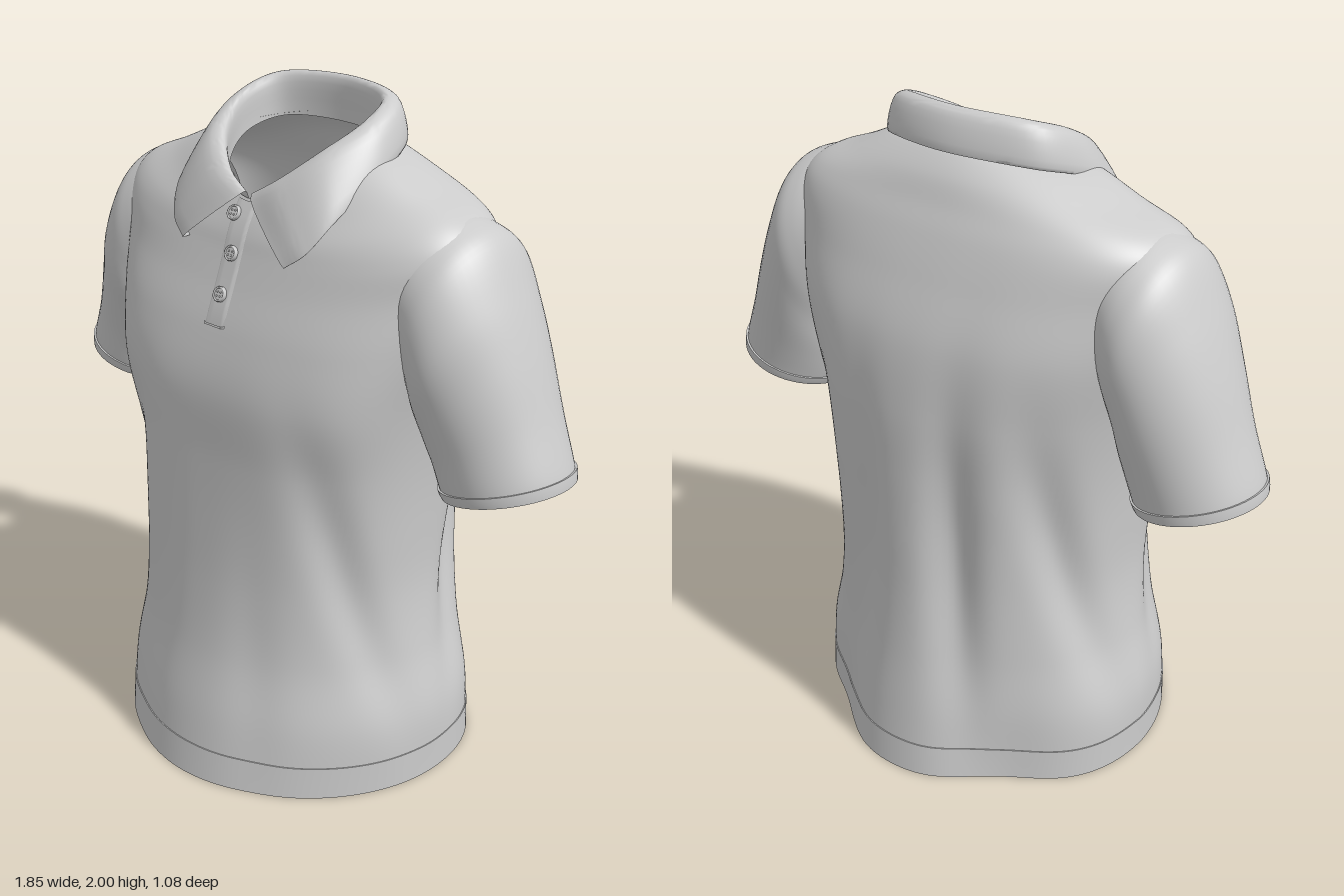
import * as THREE from 'three';
import { toCreasedNormals } from 'three/addons/utils/BufferGeometryUtils.js';

const V = (x, y, z) => new THREE.Vector3(x, y, z);
const cloth = new THREE.MeshStandardMaterial({ color: 0xcccccc, side: THREE.DoubleSide });
const spline = pts => new THREE.CatmullRomCurve3(pts, false, 'catmullrom');

// Surface from f(i / nu, j / nv); wraps around in u when closed, leaves out quads whose corner passes skip.
function surface(name, nu, nv, f, { closed = false, flip = false, crease = 0, skip = null } = {}) {
  const cols = closed ? nu : nu + 1, points = [], idx = [];
  for (let j = 0; j <= nv; j++)
    for (let i = 0; i < cols; i++) points.push(f(i / nu, j / nv));
  for (let j = 0; j < nv; j++)
    for (let i = 0; i < nu; i++) {
      const a = j * cols + i, b = j * cols + (i + 1) % cols, c = a + cols, d = b + cols;
      if (skip && skip(points[a])) continue;
      if (flip) idx.push(a, b, c, b, d, c);
      else idx.push(a, c, b, b, c, d);
    }
  let geo = new THREE.BufferGeometry().setFromPoints(points);
  geo.setIndex(idx);
  geo.computeVertexNormals();
  if (crease) geo = toCreasedNormals(geo, crease);
  const mesh = new THREE.Mesh(geo, cloth);
  mesh.name = name;
  return mesh;
}

// Torso rings: half width, side y, front y, back y, front z, back depth, squareness of front and back
const rings = [
  [.562, 0, 0, 0, .54, .54, 1.9, 2], [.557, .2, .2, .2, .505, .515, 1.95, 2], [.51, .4, .4, .4, .46, .49, 2.05, 2],
  [.482, .6, .6, .6, .43, .475, 2.3, 2.05], [.482, .8, .8, .8, .41, .47, 2.6, 2.1], [.495, 1, 1, 1, .395, .465, 3, 2.25],
  [.525, 1.2, 1.2, 1.2, .385, .455, 3.4, 2.4], [.575, 1.4, 1.36, 1.4, .345, .425, 3, 2.5],
  [.612, 1.55, 1.49, 1.57, .295, .365, 2.6, 2.5], [.632, 1.655, 1.57, 1.68, .265, .32, 2.4, 2.5],
  [.59, 1.722, 1.62, 1.75, .248, .285, 2.2, 2.4], [.46, 1.778, 1.66, 1.82, .23, .25, 2, 2.2],
  [.33, 1.835, 1.69, 1.87, .213, .205, 2, 2], [.23, 1.86, 1.715, 1.89, .198, .168, 2, 2],
];
const ringA = spline(rings.map(r => V(r[0], r[1], r[2])));
const ringB = spline(rings.map(r => V(r[3], r[4], r[5])));
const ringC = spline(rings.map(r => V(r[6], r[7], 0)));

// Soft cloth folds: angle in degrees, drift per unit of height, width, depth, middle height, reach
const folds = [
  [36, 42, 9, .06, .72, .38], [144, -42, 9, .06, .72, .38], [-30, -36, 9, .085, .75, .38],
  [-150, 36, 9, .085, .75, .38], [-111, 4, 9, .11, .75, .5], [-71, -4, 9, .07, .7, .5],
  [-128, 0, 19, .1, 0, .45], [-52, 0, 19, .1, 0, .45], [66, 6, 9, .018, .4, .4], [114, -6, 9, .018, .4, .4],
];
function foldScale(a, y) {
  let deg = a * 180 / Math.PI;
  if (deg > 180) deg -= 360;
  let s = 1;
  for (const [a0, drift, width, depth, yc, reach] of folds)
    s -= depth * Math.exp(-(((deg - a0 - drift * (y - yc)) / width) ** 2) - ((y - yc) / reach) ** 2);
  return s;
}
function torsoPoint(v, a, off = 0) {
  const A = ringA.getPoint(v), B = ringB.getPoint(v), C = ringC.getPoint(v);
  const c = Math.cos(a), s = Math.sin(a), n = s > 0 ? C.x : C.y;
  const y = A.y + ((s > 0 ? A.z : B.x) - A.y) * s * s;
  const k = foldScale(a, y) * (Math.abs(c) ** n + Math.abs(s) ** n) ** (-1 / n);
  return V((A.x * k + off) * c, y, ((s > 0 ? B.y : B.z) * k + off) * s);
}
// Ring parameter whose front centre lies at height y
function ringAt(y) {
  let lo = 0, hi = 1;
  for (let i = 0; i < 30; i++) {
    const m = (lo + hi) / 2;
    if (ringA.getPoint(m).z < y) lo = m; else hi = m;
  }
  return lo;
}
const inArmhole = p => Math.abs(p.x) > .45 && ((p.y - 1.48) / .17) ** 2 + ((p.z + .035) / .165) ** 2 < 1;

// Sleeve sections: outer x, y; inner x, y; middle z, half depth
const sleeveKeys = [
  [.51, 1.742, .46, 1.33, -.03, .205], [.595, 1.724, .48, 1.28, -.036, .228], [.668, 1.68, .495, 1.23, -.038, .24],
  [.738, 1.55, .508, 1.17, -.035, .235], [.80, 1.4, .52, 1.1, -.042, .215], [.86, 1.23, .535, 1.04, -.047, .195],
  [.91, 1.1, .55, .99, -.047, .186], [.922, 1.05, .565, .958, -.048, .183],
];
const sleeveO = spline(sleeveKeys.map(k => V(k[0], k[1], k[4])));
const sleeveI = spline(sleeveKeys.map(k => V(k[2], k[3], k[5])));
function sleevePoint(side, v, a, off = 0) {
  const o = sleeveO.getPoint(v), n = sleeveI.getPoint(v);
  const hx = (o.x - n.x) / 2, hy = (o.y - n.y) / 2, grow = 1 + off / Math.hypot(hx, hy);
  const c = Math.cos(a) * grow;
  return V(side * ((o.x + n.x) / 2 + hx * c), (o.y + n.y) / 2 + hy * c, o.z + (n.z + off) * Math.sin(a));
}

// Collar rails from front to back centre, mirrored to the other side
const rail = pts => {
  const half = pts.map(p => V(...p));
  const other = half.slice(0, -1).reverse().map(p => V(-p.x, p.y, p.z));
  return spline([...half, ...other]);
};
const edgePts = [[.2, 1.58, .275], [.262, 1.63, .25], [.305, 1.715, .18], [.32, 1.815, .01], [.245, 1.872, -.165], [0, 1.888, -.236]];
const collarRails = [
  [[.012, 1.69, .19], [.1, 1.71, .17], [.185, 1.77, .1], [.225, 1.83, -.01], [.175, 1.865, -.12], [0, 1.87, -.163]],
  [[.012, 1.735, .205], [.1, 1.79, .185], [.19, 1.87, .11], [.235, 1.94, -.01], [.19, 1.985, -.125], [0, 1.997, -.172]],
  [[.03, 1.72, .228], [.13, 1.775, .214], [.222, 1.86, .14], [.278, 1.925, -.005], [.226, 1.975, -.148], [0, 1.988, -.205]],
  edgePts,
  edgePts.map(([x, y, z]) => [x * .94, y + .005, z * .94]),
].map(rail);

export function createModel() {
  const shirt = new THREE.Group();
  shirt.name = 'poloShirt';
  const TAU = Math.PI * 2;

  // Body with open armholes
  shirt.add(surface('torso', 160, 104, (u, v) => torsoPoint(v, u * TAU), { closed: true, skip: inArmhole }));

  // Hem band with turned-in edge
  const hv = ringAt(.1);
  const hem = [[hv, 0], [hv, .003], [hv / 2, .003], [0, .003], [0, -.01], [hv, -.004]];
  shirt.add(surface('hem', 160, 5, (u, t) => {
    const [v, off] = hem[Math.round(t * 5)];
    return torsoPoint(v, u * TAU, off);
  }, { closed: true, flip: true, crease: .7 }));

  // Sleeves with cuffs
  const cuff = [[.89, 0], [.89, .006], [.95, .006], [1, .004], [1, -.008], [.87, -.004]];
  for (const [side, label] of [[1, 'left'], [-1, 'right']]) {
    const flip = side < 0;
    shirt.add(surface(label + 'Sleeve', 56, 42, (u, v) => sleevePoint(side, v, u * TAU), { closed: true, flip }));
    shirt.add(surface(label + 'Cuff', 56, 5, (u, t) => {
      const [v, off] = cuff[Math.round(t * 5)];
      return sleevePoint(side, v, u * TAU, off);
    }, { closed: true, flip, crease: .7 }));
  }

  // Folded collar: stand, crease, fall and underside
  shirt.add(surface('collar', 100, 24, (u, v) => {
    const section = new THREE.CatmullRomCurve3(collarRails.map(r => r.getPoint(u)));
    return section.getPoint(v);
  }, { crease: 1 }));

  // Button placket following the chest
  const v0 = ringAt(1.38), v1 = ringAt(1.71);
  const angleAt = (v, x) => Math.acos(x / ringA.getPoint(v).x);
  const strip = (name, va, vb, x0, x1, lift) => surface(name, 10, 24, (u, t) => {
    const v = va + (vb - va) * t;
    const edge = u < .05 || u > .95 || t === 0 ? 0 : lift;
    return torsoPoint(v, angleAt(v, x1 + (x0 - x1) * u), edge);
  }, { crease: .6 });
  shirt.add(strip('placket', v0, v1, -.045, .028, .004));
  shirt.add(strip('placketSeam', v0, ringAt(1.386), -.048, .03, .009));

  // Buttons
  for (const [x, y] of [[-.035, 1.675], [-.006, 1.575], [-.01, 1.465]]) {
    const v = ringAt(y), a = angleAt(v, x);
    const up = torsoPoint(v + .01, a).sub(torsoPoint(v - .01, a)).normalize();
    const button = new THREE.Group();
    button.name = 'button';
    const disc = new THREE.Mesh(new THREE.CylinderGeometry(.022, .022, .01, 24), cloth);
    disc.rotation.x = Math.PI / 2;
    const rim = new THREE.Mesh(new THREE.TorusGeometry(.019, .003, 8, 24), cloth);
    rim.position.z = .005;
    button.add(disc, rim);
    for (let i = 0; i < 4; i++) {
      const stitch = new THREE.Mesh(new THREE.SphereGeometry(.003, 8, 6), cloth);
      stitch.position.set((i % 2 - .5) * .012, (i < 2 ? -1 : 1) * .006, .005);
      button.add(stitch);
    }
    button.position.copy(torsoPoint(v, a, .008));
    button.rotation.x = Math.atan2(up.z, up.y);
    shirt.add(button);
  }
  return shirt;
}
